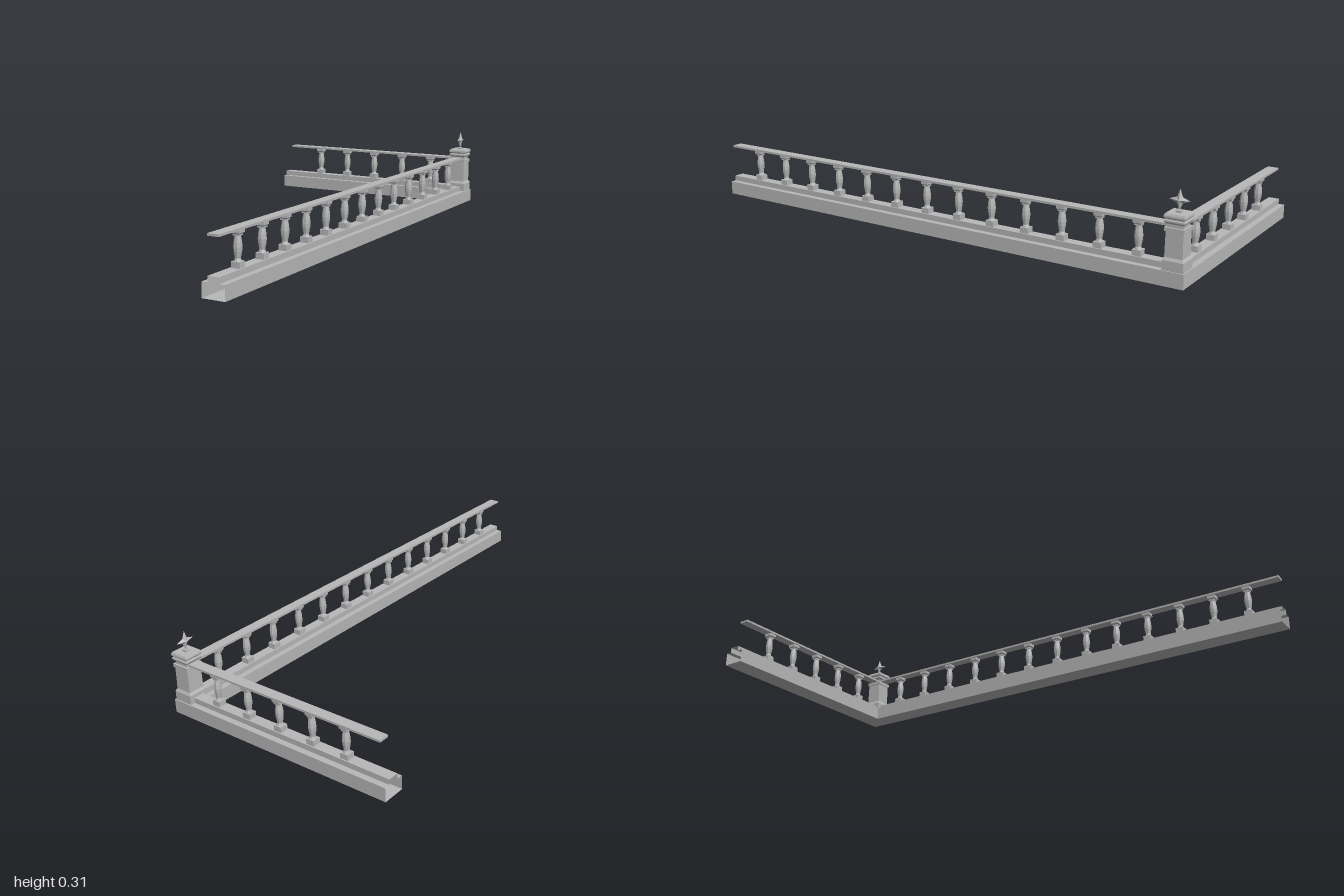
import * as THREE from 'three';

const CX = 0.42, CZ = -0.96; // corner of the two runs

function flat(geo) {
  const g = geo.index ? geo.toNonIndexed() : geo;
  g.computeVertexNormals();
  return g;
}

function fromTriangles(tris) {
  const g = new THREE.BufferGeometry();
  g.setAttribute('position', new THREE.Float32BufferAttribute(tris.flat(2), 3));
  return flat(g);
}

// Turned or square column from [halfWidth, y] pairs
function column(profile, sides) {
  const k = 1 / Math.cos(Math.PI / sides);
  const g = new THREE.LatheGeometry(profile.map(([r, y]) => new THREE.Vector2(r * k, y)), sides);
  return flat(g.rotateY(Math.PI / sides));
}

// Sweep a cross-section [offset, y] round the mitred L-shaped path
function sweepL(section, startX, endZ, capped) {
  const stations = [
    section.map(([d, y]) => [startX, y, CZ + d]),
    section.map(([d, y]) => [CX - d, y, CZ + d]),
    section.map(([d, y]) => [CX - d, y, endZ]),
  ];
  const n = section.length, tris = [];
  for (let s = 0; s < 2; s++) {
    for (let i = 0; i < n; i++) {
      const j = (i + 1) % n, A = stations[s], B = stations[s + 1];
      tris.push([A[i], B[i], A[j]], [B[i], B[j], A[j]]);
    }
  }
  if (capped) {
    const [A, , B] = stations;
    for (let i = 1; i < n - 1; i++) tris.push([A[0], A[i], A[i + 1]], [B[0], B[i + 1], B[i]]);
  }
  return fromTriangles(tris);
}

// Four-pointed star with a raised centre on both faces
function starGeometry(height, width, inner, depth) {
  const ring = [];
  for (let i = 0; i < 8; i++) {
    const a = i * Math.PI / 4, r = i % 2 ? inner : (i % 4 ? height : width);
    ring.push([0, Math.sin(a) * r, Math.cos(a) * r]);
  }
  const tris = [];
  ring.forEach((p, i) => {
    const q = ring[(i + 1) % 8];
    tris.push([[depth, 0, 0], q, p], [[-depth, 0, 0], p, q]);
  });
  return fromTriangles(tris);
}

export function createModel() {
  const model = new THREE.Group();
  model.name = 'cornerBalustrade';
  const stone = new THREE.MeshStandardMaterial({ color: 0xb8b8b8, side: THREE.DoubleSide });
  stone.name = 'grey stone';

  const add = (name, geo, parent, x = 0, y = 0, z = 0) => {
    const m = new THREE.Mesh(geo, stone);
    m.name = name;
    m.position.set(x, y, z);
    parent.add(m);
    return m;
  };

  // Hollow stepped base, open at both ends
  add('base', sweepL([
    [-0.042, 0], [0.042, 0], [0.042, 0.051], [0.02, 0.051],
    [0.02, 0.071], [-0.02, 0.071], [-0.02, 0.051], [-0.042, 0.051],
  ], -0.465, 1, false), model);

  // Handrail
  add('handrail', sweepL([
    [-0.02, 0.191], [0.02, 0.191], [0.02, 0.199], [-0.02, 0.199],
  ], -0.433, 1, true), model);

  // Balusters: square foot, turned shaft, square capital
  const foot = flat(new THREE.BoxGeometry(0.031, 0.029, 0.031));
  const shaft = column([
    [0.012, 0.091], [0.009, 0.099], [0.009, 0.102], [0.0125, 0.122],
    [0.0135, 0.135], [0.0125, 0.15], [0.0095, 0.17], [0.0095, 0.178],
  ], 8);
  const capital = column([
    [0, 0.171], [0.0115, 0.171], [0.0115, 0.176], [0.0155, 0.18], [0.0155, 0.191], [0, 0.191],
  ], 4);
  const addBaluster = (x, z) => {
    const b = new THREE.Group();
    b.name = 'baluster';
    b.position.set(x, 0, z);
    add('balusterFoot', foot, b, 0, 0.0765, 0);
    add('balusterShaft', shaft, b);
    add('balusterCapital', capital, b);
    model.add(b);
  };
  for (let i = -2; i <= 2; i++) addBaluster(i * 0.141, CZ);
  for (let i = 0; i < 13; i++) addBaluster(CX, 0.867 - i * 0.141);

  // Corner post with moulded cap
  const post = new THREE.Group();
  post.name = 'cornerPost';
  post.position.set(CX + 0.002, 0, CZ - 0.001);
  model.add(post);
  add('postBody', column([
    [0, 0.03], [0.0365, 0.03], [0.0365, 0.084], [0.031, 0.094], [0.03, 0.178],
    [0.034, 0.178], [0.034, 0.191], [0.027, 0.191], [0.027, 0.205],
  ], 4), post);
  add('postCap', column([
    [0, 0.203], [0.031, 0.203], [0.035, 0.209], [0.035, 0.214], [0.032, 0.216],
    [0.032, 0.219], [0.036, 0.223], [0.036, 0.229], [0.033, 0.236], [0, 0.236],
  ], 4), post);

  // Star finial on a small block
  add('finialBlock', flat(new THREE.BoxGeometry(0.017, 0.008, 0.017)), post, 0, 0.239, 0);
  add('starFinial', starGeometry(0.037, 0.036, 0.014, 0.011), post, 0, 0.275, 0);

  return model;
}
